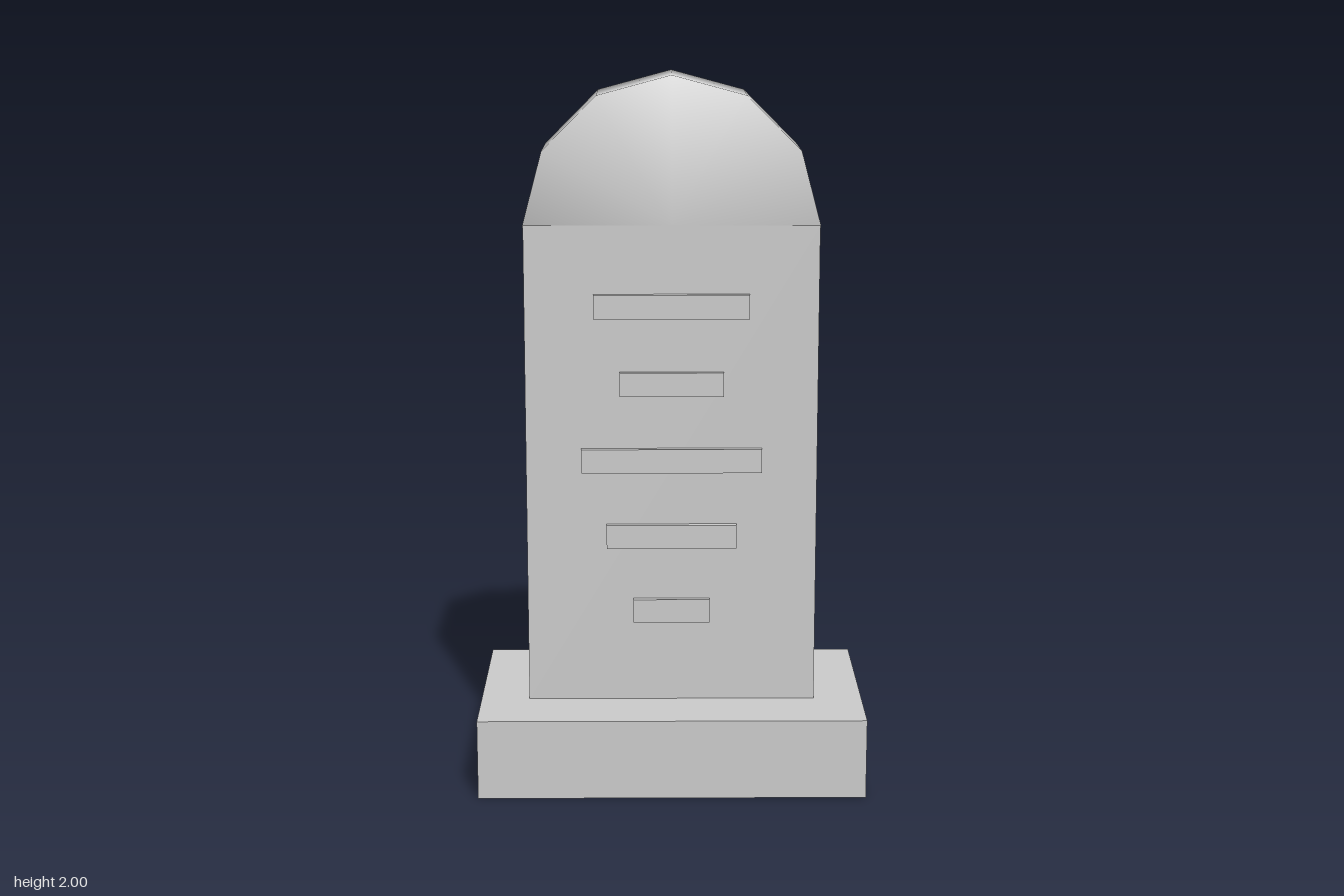
import * as THREE from 'three';
import { mergeVertices } from 'three/addons/utils/BufferGeometryUtils.js';

const material = new THREE.MeshStandardMaterial({ color: 0xcccccc });

export function createModel() {
  const model = new THREE.Group();
  model.name = 'standingStone';

  const add = (name, geometry, x, y, z) => {
    const mesh = new THREE.Mesh(geometry, material);
    mesh.name = name;
    mesh.position.set(x, y, z);
    model.add(mesh);
    return mesh;
  };

  // Plinth and upright slab
  add('base', new THREE.BoxGeometry(1.09, 0.228, 0.632), 0, 0.114, 0);
  add('slab', new THREE.BoxGeometry(0.816, 1.364, 0.254), 0, 0.91, 0);

  // Twelve-sided rounded top, smooth across its rim; the lower half sits inside the slab
  let top = new THREE.CylinderGeometry(0.41, 0.41, 0.252, 12).rotateX(Math.PI / 2);
  top.deleteAttribute('normal');
  top.deleteAttribute('uv');
  top = mergeVertices(top, 1e-4);
  top.computeVertexNormals();
  add('roundedTop', top, 0, 1.59, 0);

  // Raised bars, the same on front and back: [centre height, width]
  const bars = [[1.368, 0.432], [1.15, 0.29], [0.932, 0.506], [0.713, 0.366], [0.495, 0.216]];
  for (const [y, width] of bars) {
    for (const side of [1, -1]) {
      add(side > 0 ? 'frontBar' : 'backBar',
        new THREE.BoxGeometry(width, 0.068, 0.04), 0, y, side * 0.125);
    }
  }

  // Flattened round boss on the back
  const boss = new THREE.SphereGeometry(1, 12, 8).rotateX(Math.PI / 2);
  add('backBoss', boss, 0, 1.64, -0.137).scale.set(0.122, 0.122, 0.037);

  return model;
}
